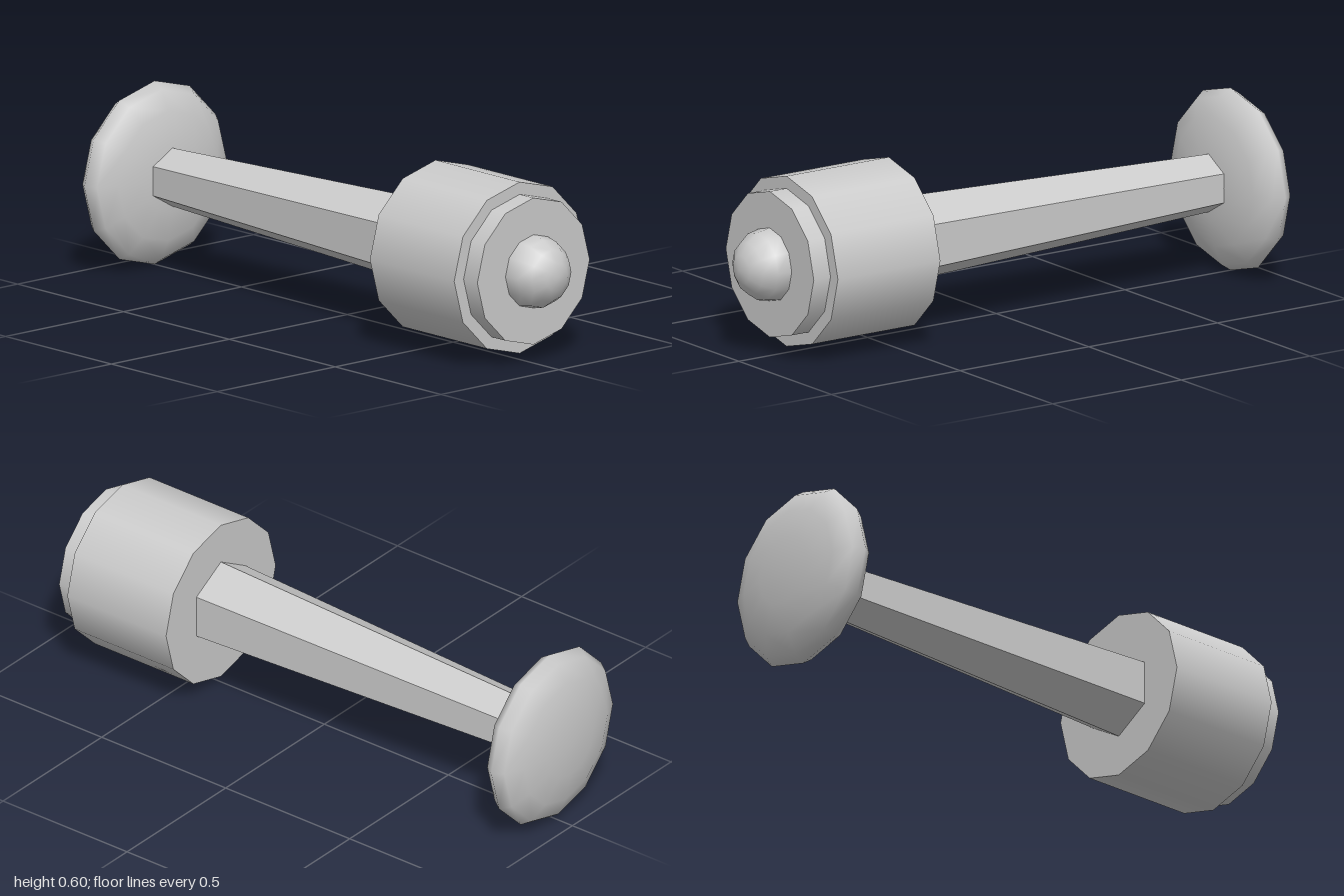
import * as THREE from 'three';

const AXIS_Y = 0.298; // height of the common long axis

export function createModel() {
  const group = new THREE.Group();
  const smooth = new THREE.MeshStandardMaterial({ color: 0xcccccc });
  const flat = new THREE.MeshStandardMaterial({ color: 0xcccccc, flatShading: true });

  const add = (name, geometry, z, material = smooth) => {
    const mesh = new THREE.Mesh(geometry, material);
    mesh.name = name;
    mesh.position.set(0, AXIS_Y, z);
    group.add(mesh);
  };

  // Cylinder along z between two depths
  const rod = (name, zBack, zFront, rBack, rFront, sides, material) => {
    const geometry = new THREE.CylinderGeometry(rFront, rBack, zFront - zBack, sides).rotateX(Math.PI / 2);
    add(name, geometry, (zBack + zFront) / 2, material);
  };

  // Ellipsoid with its poles on z
  const ball = (name, z, radius, depth) => {
    const geometry = new THREE.SphereGeometry(1, 12, 8).rotateX(Math.PI / 2);
    add(name, geometry.scale(radius, radius, depth), z);
  };

  // Flattened knob at the back
  ball('endDisc', -0.91, 0.298, 0.09);

  // Tapered six-sided handle, running into the disc and the head
  rod('shaft', -0.91, 0.44, 0.0915, 0.144, 6, flat);

  // Stepped head with a rounded tip
  rod('head', 0.417, 0.815, 0.278, 0.278, 12);
  rod('headRim', 0.75, 0.88, 0.238, 0.238, 12);
  ball('tip', 0.881, 0.119, 0.119);

  return group;
}
